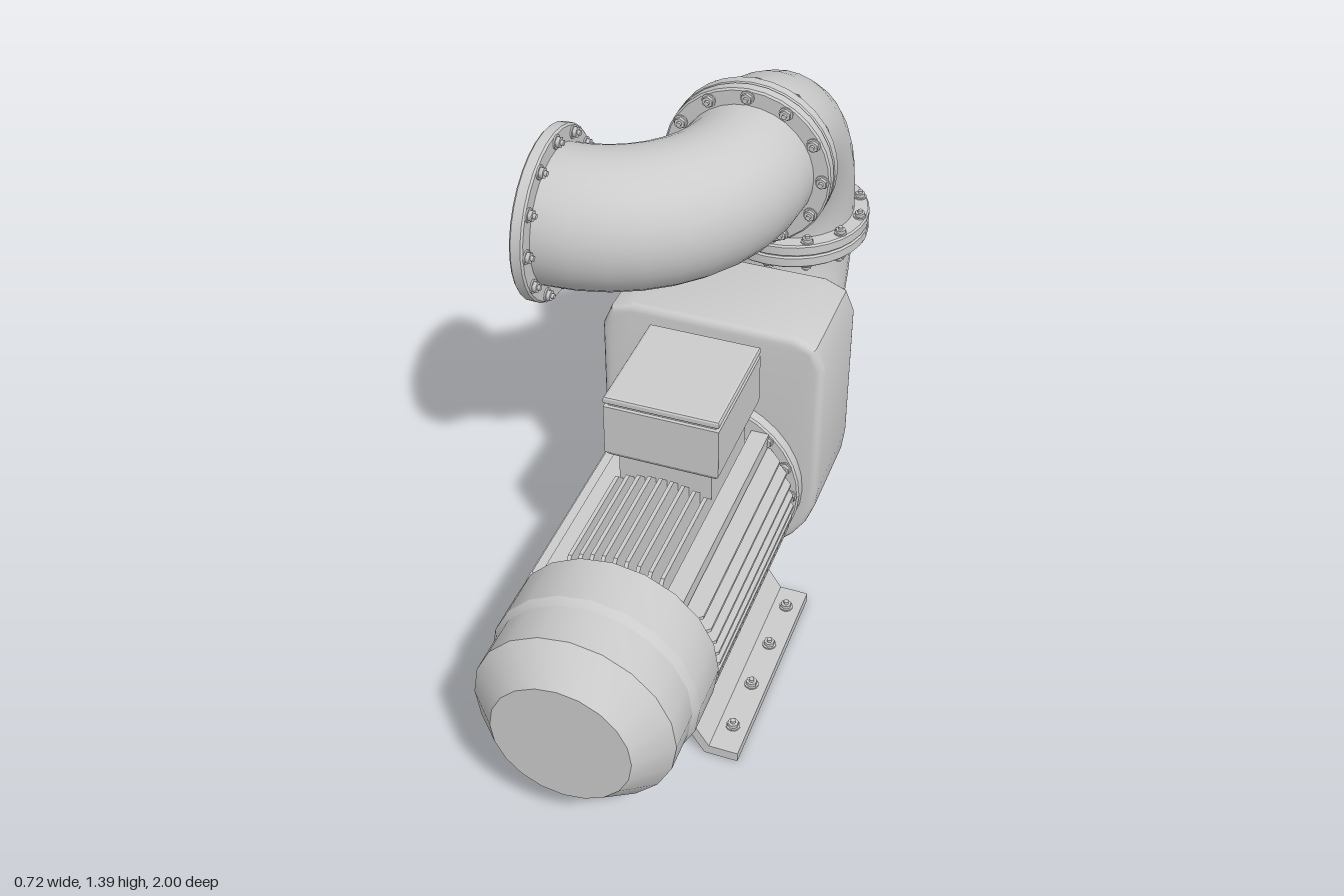
import * as THREE from 'three';
import { mergeGeometries, toCreasedNormals } from 'three/addons/utils/BufferGeometryUtils.js';

const X = 0.0425, Y = 0.35; // motor axis
const PIPE_R = 0.185, BEND_R = 0.37, FLANGE_R = 0.23, FLANGE_T = 0.036;
const material = new THREE.MeshStandardMaterial({ color: 0xcccccc, side: THREE.DoubleSide });

function add(parent, name, geometry, x = 0, y = 0, z = 0) {
  const mesh = new THREE.Mesh(geometry, material);
  mesh.name = name;
  mesh.position.set(x, y, z);
  parent.add(mesh);
  return mesh;
}

const box = (w, h, d) => new THREE.BoxGeometry(w, h, d);
const vec = (x, y, z) => new THREE.Vector3(x, y, z);
const polygon = (pts) => new THREE.Shape(pts.map(([x, y]) => new THREE.Vector2(x, y)));

// Profile of [radius, height] turned about y, keeping hard edges
function turned(profile, sides) {
  const pts = profile.map(([r, h]) => new THREE.Vector2(r, h));
  return toCreasedNormals(new THREE.LatheGeometry(pts, sides), 0.45);
}

// Washer, hex nut and stud standing on y = 0
function boltGeometry() {
  return mergeGeometries([
    new THREE.CylinderGeometry(0.019, 0.019, 0.004, 12).translate(0, 0.002, 0),
    new THREE.CylinderGeometry(0.015, 0.015, 0.01, 6).toNonIndexed().translate(0, 0.009, 0),
    new THREE.CylinderGeometry(0.007, 0.007, 0.008, 8).translate(0, 0.018, 0),
  ].map((g) => (g.index ? g.toNonIndexed() : g)));
}

function boltRing(count, radius) {
  const bolts = [];
  for (let i = 0; i < count; i++) {
    const a = (i / count) * Math.PI * 2;
    bolts.push(boltGeometry().translate(radius * Math.sin(a), 0, radius * Math.cos(a)));
  }
  return mergeGeometries(bolts);
}

// Bolted disc below y = 0, nuts on the upper face
function flange(name, radius, thickness, bolts, boltRadius) {
  const group = new THREE.Group();
  group.name = name;
  const c = 0.005;
  add(group, 'flangeDisc', turned([[0, -thickness], [radius - c, -thickness], [radius, c - thickness],
    [radius, -c], [radius - c, 0], [0, 0]], 32));
  add(group, 'flangeBolts', boltRing(bolts, boltRadius));
  return group;
}

// Quarter bend about a centre, from direction a to direction b, flanged at both ends
function elbow(name, centre, a, b) {
  const group = new THREE.Group();
  group.name = name;
  add(group, 'bentPipe', new THREE.TorusGeometry(BEND_R, PIPE_R, 32, 9, Math.PI / 2));
  const start = flange('startFlange', FLANGE_R, FLANGE_T, 12, 0.208);
  start.position.set(BEND_R, 0, 0);
  const end = flange('endFlange', FLANGE_R, FLANGE_T, 12, 0.208);
  end.position.set(0, BEND_R, 0);
  end.rotation.z = -Math.PI / 2;
  group.add(start, end);
  const basis = new THREE.Matrix4().makeBasis(a, b, a.clone().cross(b));
  group.quaternion.setFromRotationMatrix(basis);
  group.position.copy(centre);
  return group;
}

// Row of cooling fins along z, pointing outwards and trimmed to a circle
function fins(name, out, z0, z1, count, spread) {
  const along = vec(0, 0, 1), across = along.clone().cross(out);
  const basis = new THREE.Matrix4().makeBasis(along, out, across);
  const thickness = 0.01, parts = [];
  for (let i = 0; i < count; i++) {
    const d = -spread + (2 * spread * i) / (count - 1);
    const tip = Math.sqrt(0.268 ** 2 - d * d), root = 0.13;
    const shape = polygon([[z0, root], [z1, root], [z1, tip - 0.02], [z1 - 0.02, tip],
      [z0 + 0.04, tip], [z0, tip - 0.04]]);
    parts.push(new THREE.ExtrudeGeometry(shape, { depth: thickness, bevelEnabled: false })
      .translate(0, 0, d - thickness / 2));
  }
  const mesh = new THREE.Mesh(mergeGeometries(parts).applyMatrix4(basis), material);
  mesh.name = name;
  mesh.position.set(X, Y, 0);
  return mesh;
}

function createMotor() {
  const motor = new THREE.Group();
  motor.name = 'motor';

  // Fan cover with tapered nose
  add(motor, 'fanCover', turned([[0, 0.64], [0.26, 0.64], [0.272, 0.65], [0.272, 0.785], [0.26, 0.805],
    [0.26, 0.915], [0.18, 1], [0, 1]], 20).rotateX(Math.PI / 2), X, Y, 0);

  // Barrel with corner rails and fins
  add(motor, 'barrel', new THREE.CylinderGeometry(0.2, 0.2, 0.68, 32).rotateX(Math.PI / 2), X, Y, 0.31);
  for (const sx of [-1, 1]) {
    for (const sy of [-1, 1]) {
      add(motor, 'cornerRail', box(0.05, 0.04, 0.67), X + sx * 0.155, Y + sy * 0.178, 0.315);
    }
    motor.add(fins('sideFins', vec(sx, 0, 0), -0.02, 0.65, 9, 0.145));
  }
  motor.add(fins('topFins', vec(0, 1, 0), 0.28, 0.65, 9, 0.12));

  // Mounting flange against the pump housing
  const mount = flange('mountingFlange', 0.27, 0.04, 16, 0.247);
  mount.rotation.x = Math.PI / 2;
  mount.position.set(X, Y, -0.02);
  motor.add(mount);

  // Terminal box
  add(motor, 'terminalNeck', box(0.25, 0.16, 0.27), X, 0.58, 0.155);
  const taper = box(0.305, 0.015, 0.33);
  const p = taper.attributes.position;
  for (let i = 0; i < p.count; i++) {
    if (p.getY(i) < 0) p.setXYZ(i, p.getX(i) * 0.94, p.getY(i), p.getZ(i) * 0.94);
  }
  taper.computeVertexNormals();
  add(motor, 'terminalBoxBase', taper, X, 0.6575, 0.155);
  add(motor, 'terminalBox', box(0.305, 0.145, 0.33), X, 0.7375, 0.155);
  add(motor, 'lidSeal', box(0.285, 0.01, 0.31), X, 0.814, 0.155);
  const lid = new THREE.ExtrudeGeometry(polygon([[-0.145, -0.157], [0.145, -0.157], [0.145, 0.157], [-0.145, 0.157]]),
    { depth: 0.01, bevelThickness: 0.006, bevelSize: 0.008, bevelSegments: 2 });
  add(motor, 'terminalLid', lid.rotateX(-Math.PI / 2), X, 0.824, 0.155);
  return motor;
}

// Folded plate carrying the motor, bolted down on both sides
function createBase() {
  const base = new THREE.Group();
  base.name = 'base';
  const half = [[0.318, 0.028], [0.318, 0], [0.228, 0], [0.145, 0.13]];
  const upper = [[0.135, 0.16], [0.155, 0.16], [0.24, 0.028]];
  const mirror = (pts) => pts.map(([x, y]) => [-x, y]).reverse();
  const outline = [...half, ...mirror(half), ...mirror(upper), ...upper];
  add(base, 'footPlate', new THREE.ExtrudeGeometry(polygon(outline), { depth: 0.615, bevelEnabled: false }), X, 0, 0.01);
  for (const side of [-1, 1]) {
    for (const z of [0.08, 0.233, 0.387, 0.54]) {
      add(base, 'footBolt', boltGeometry(), X + side * 0.277, 0.028, z);
    }
  }
  return base;
}

// Pump housing: round below, square-shouldered above
function createHousing() {
  const r = 0.31, outline = [];
  for (let i = 0; i <= 14; i++) {
    const a = Math.PI * (1 + i / 14);
    outline.push([r * Math.cos(a), 0.3 * Math.sin(a)]);
  }
  outline.push([r, 0.415], [0.285, 0.475], [0.225, 0.5], [-0.225, 0.5], [-0.285, 0.475], [-r, 0.415]);
  const bevel = 0.022;
  const geometry = new THREE.ExtrudeGeometry(polygon(outline), {
    depth: 0.31 - 2 * bevel, bevelThickness: bevel, bevelSize: bevel, bevelOffset: -bevel, bevelSegments: 4,
  });
  const housing = new THREE.Group();
  housing.name = 'pumpHousing';
  add(housing, 'housingShell', toCreasedNormals(geometry, 0.5), X, Y, -0.365 + bevel);
  return housing;
}

export function createModel() {
  const model = new THREE.Group();
  model.name = 'motorPump';
  model.add(createMotor(), createBase(), createHousing());

  // Three bends: back and up, forward again, then out to the right
  const zc = -0.398;
  model.add(
    elbow('lowerElbow', vec(X, 0.72, zc), vec(0, -1, 0), vec(0, 0, -1)),
    elbow('upperElbow', vec(X, 0.793, zc), vec(0, 0, -1), vec(0, 1, 0)),
    elbow('outletElbow', vec(X - BEND_R, 1.164, -0.325), vec(1, 0, 0), vec(0, 0, 1)),
  );
  return model;
}
